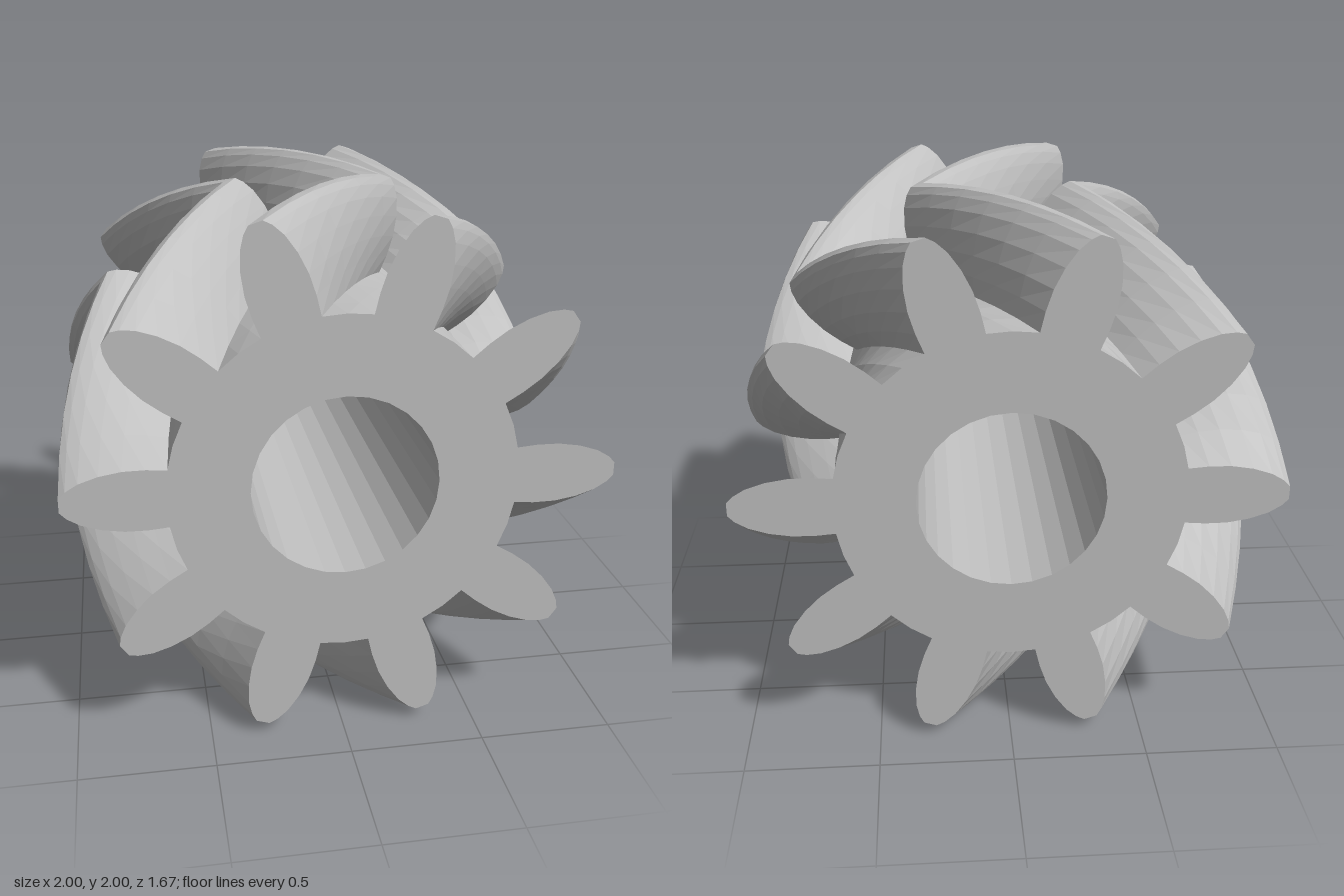
import * as THREE from 'three';

const TEETH = 10;
const LENGTH = 1.67;
const TWIST = Math.PI / 5; // turn from each end face to the middle
const ROOT = 0.635;
const BORE = 0.34;

// half of one tooth: distance from the axis, half width
const FLANK = [[0.625, 0.108], [0.7, 0.114], [0.78, 0.113], [0.86, 0.1], [0.93, 0.077], [0.975, 0.05], [0.999, 0.025]];

function gearProfile() {
  const points = [];
  const tooth = [
    ...FLANK.map(([r, w]) => [r, -w]),
    ...[...FLANK].reverse(),
  ];
  for (let i = 0; i < TEETH; i++) {
    const a = (i / TEETH) * Math.PI * 2;
    const c = Math.cos(a), s = Math.sin(a);
    for (const [u, v] of tooth) points.push(new THREE.Vector2(u * c - v * s, u * s + v * c));
    // floor of the gap after this tooth
    const g = a + Math.PI / TEETH;
    points.push(new THREE.Vector2(ROOT * Math.cos(g), ROOT * Math.sin(g)));
  }
  const shape = new THREE.Shape(points);
  const bore = new THREE.Path();
  bore.absarc(0, 0, BORE, 0, Math.PI * 2, true);
  shape.holes.push(bore);
  return shape;
}

// turn the toothed rim towards the middle to form the V-shaped teeth
function twistRim(geometry) {
  const pos = geometry.attributes.position;
  for (let i = 0; i < pos.count; i++) {
    const x = pos.getX(i), y = pos.getY(i), z = pos.getZ(i);
    if (Math.hypot(x, y) < 0.5) continue; // leave the bore straight
    const a = -TWIST * (1 - Math.abs(z) / (LENGTH / 2));
    const c = Math.cos(a), s = Math.sin(a);
    pos.setXY(i, x * c - y * s, x * s + y * c);
  }
  geometry.computeVertexNormals();
}

export function createModel() {
  const metal = new THREE.MeshStandardMaterial({ color: 0xbfbfbf, flatShading: true });
  metal.name = 'grey metal';

  const geometry = new THREE.ExtrudeGeometry(gearProfile(), {
    depth: LENGTH, steps: 12, bevelEnabled: false, curveSegments: 14,
  });
  geometry.translate(0, 0, -LENGTH / 2);
  twistRim(geometry);

  const gear = new THREE.Mesh(geometry, metal);
  gear.name = 'herringboneGear';
  gear.position.y = 1;

  const model = new THREE.Group();
  model.name = 'gear';
  model.add(gear);
  return model;
}
